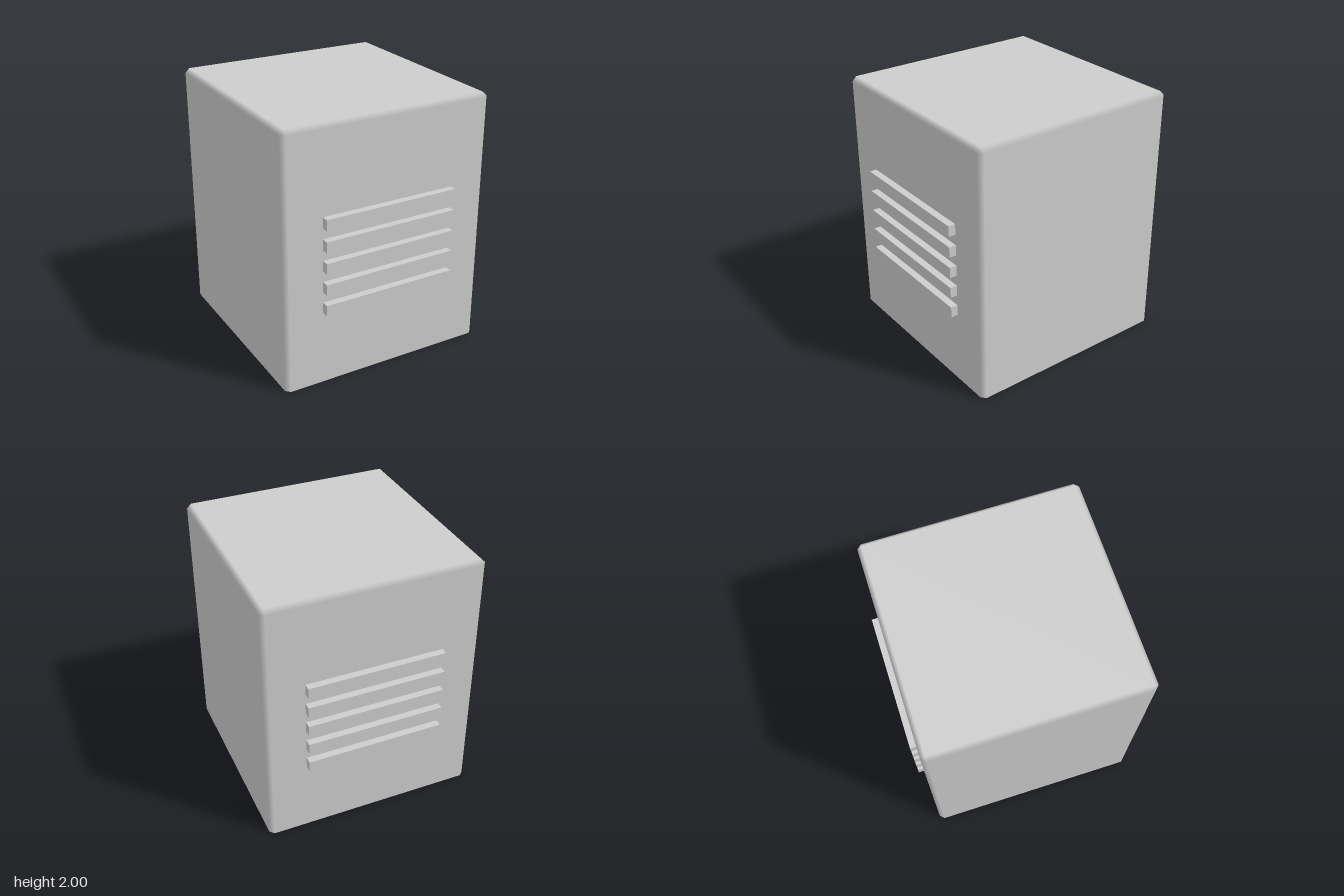
import * as THREE from 'three';

const HALF = 0.833, HEIGHT = 2, BEVEL = 0.033;

// Square cover, open underneath, with single-step bevels shaded smoothly into flat walls
function coverGeometry() {
  const e = HALF - BEVEL, y = HEIGHT - BEVEL;
  const positions = [], normals = [];
  const up = new THREE.Vector3(0, 1, 0);

  // Corner points of one side, turned by k quarter turns
  const side = (k) => {
    const turn = (px, py, pz) => new THREE.Vector3(px, py, pz).applyAxisAngle(up, k * Math.PI / 2);
    const n = turn(0, 0, 1);
    return {
      l0: [turn(-e, 0, HALF), n], r0: [turn(e, 0, HALF), n],
      l1: [turn(-e, y, HALF), n], r1: [turn(e, y, HALF), n],
      tl: [turn(-e, HEIGHT, e), up], tr: [turn(e, HEIGHT, e), up],
    };
  };
  const tri = (...corners) => corners.forEach(([p, n]) => {
    positions.push(p.x, p.y, p.z);
    normals.push(n.x, n.y, n.z);
  });
  const quad = (a, b, c, d) => { tri(a, b, c); tri(a, c, d); };

  const sides = [0, 1, 2, 3].map(side);
  sides.forEach((s, k) => {
    const next = sides[(k + 1) % 4];
    quad(s.l0, s.r0, s.r1, s.l1);             // wall
    quad(s.r0, next.l0, next.l1, s.r1);       // upright corner bevel
    quad(s.l1, s.r1, s.tr, s.tl);             // top edge bevel
    tri(s.r1, next.l1, s.tr);                 // corner tip
  });
  quad(...sides.map((s) => s.tl));            // top

  const g = new THREE.BufferGeometry();
  g.setAttribute('position', new THREE.Float32BufferAttribute(positions, 3));
  g.setAttribute('normal', new THREE.Float32BufferAttribute(normals, 3));
  return g;
}

// Slat without its underside or the hidden face against the wall
function slatGeometry() {
  const g = new THREE.BoxGeometry(1.064, 1 / 12, 0.055);
  const index = Array.from(g.index.array);
  g.setIndex([...index.slice(0, 18), ...index.slice(24, 30)]);
  g.clearGroups();
  return g;
}

export function createModel() {
  const model = new THREE.Group();
  model.name = 'ventedCover';

  const grey = new THREE.MeshStandardMaterial({ color: 0xcccccc, side: THREE.DoubleSide });
  grey.name = 'lightGrey';

  const cover = new THREE.Mesh(coverGeometry(), grey);
  cover.name = 'cover';
  model.add(cover);

  // Five slats on the front, repeated on the back
  const slat = slatGeometry();
  ['frontSlats', 'backSlats'].forEach((name, i) => {
    const slats = new THREE.Group();
    slats.name = name;
    slats.rotation.y = i * Math.PI;
    for (let j = 0; j < 5; j++) {
      const mesh = new THREE.Mesh(slat, grey);
      mesh.name = 'slat' + (j + 1);
      mesh.position.set(0, 0.625 + j / 6, HALF + 0.0275);
      slats.add(mesh);
    }
    model.add(slats);
  });
  return model;
}
